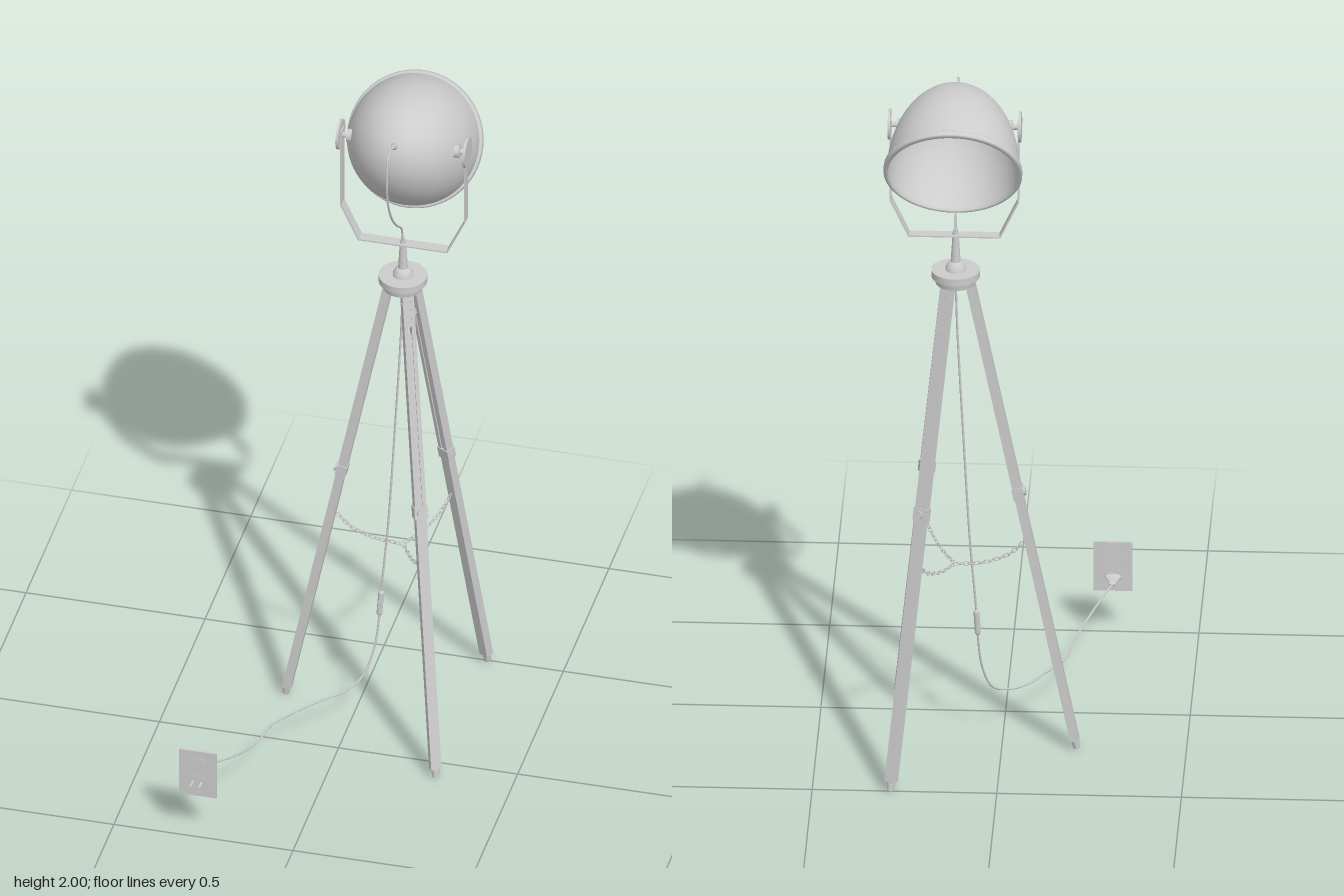
import * as THREE from 'three';

const CX = 0.125, CZ = -0.215; // tripod axis

export function createModel() {
  const root = new THREE.Group();
  const mat = new THREE.MeshStandardMaterial({ color: 0xcccccc });
  const thin = new THREE.MeshStandardMaterial({ color: 0xcccccc, side: THREE.DoubleSide });

  const add = (parent, name, geo, x = 0, y = 0, z = 0, m = mat) => {
    const mesh = new THREE.Mesh(geo, m);
    mesh.name = name;
    mesh.position.set(x, y, z);
    parent.add(mesh);
    return mesh;
  };
  const group = (parent, name, x = 0, y = 0, z = 0) => {
    const g = new THREE.Group();
    g.name = name;
    g.position.set(x, y, z);
    parent.add(g);
    return g;
  };
  const box = (w, h, d) => new THREE.BoxGeometry(w, h, d);
  const cyl = (rt, rb, h, n = 24) => new THREE.CylinderGeometry(rt, rb, h, n);
  const lathe = (pts, n = 48) => new THREE.LatheGeometry(pts.map(p => new THREE.Vector2(...p)), n);
  const curve = pts => new THREE.CatmullRomCurve3(pts.map(p => new THREE.Vector3(...p)), false, 'centripetal');
  const tube = (pts, r, n = 80) => new THREE.TubeGeometry(curve(pts), n, r, 8);

  // Tripod legs with clamps, feet and chains meeting in the middle
  const tripod = group(root, 'tripod', CX, 0, CZ);
  const topR = 0.038, footR = 0.328, topY = 1.405;
  const tilt = Math.atan2(footR - topR, topY);
  const len = Math.hypot(footR - topR, topY);
  for (const a of [Math.PI, Math.PI / 3, -Math.PI / 3]) {
    const side = group(tripod, 'legAssembly');
    side.rotation.y = a;
    const leg = group(side, 'leg', footR, 0.002, 0);
    leg.rotation.z = tilt; // local y runs along the leg, from the foot up
    const joint = 0.79;
    add(leg, 'foot', cyl(0.012, 0.009, 0.03, 16), 0, 0.015, 0);
    add(leg, 'lowerLeg', box(0.024, joint - 0.025, 0.029), 0, (joint + 0.025) / 2, 0);
    for (const s of [-1, 1])
      add(leg, 'upperSlat', box(0.025, len - joint, 0.011), 0, (len + joint) / 2, s * 0.0105);
    add(leg, 'innerSlat', box(0.018, 0.52, 0.01), 0, joint + 0.26, 0);
    add(leg, 'topBlock', box(0.023, 0.1, 0.01), 0, len - 0.05, 0);
    add(leg, 'clamp', box(0.029, 0.035, 0.038), 0, joint - 0.005, 0);
    const knob = add(leg, 'clampKnob', cyl(0.012, 0.012, 0.008, 16), 0.017, joint - 0.005, 0);
    knob.rotation.z = Math.PI / 2;
    const pin = add(leg, 'hingeBolt', cyl(0.005, 0.005, 0.036, 12), 0, len - 0.035, 0);
    pin.rotation.x = Math.PI / 2;

    // Sagging chain from the leg to the centre ring
    const path = curve([[0.185, 0.62, 0], [0.145, 0.583, 0], [0.08, 0.557, 0], [0.008, 0.55, 0]]);
    const links = 14, step = path.getLength() / links;
    for (let i = 0; i < links; i++) {
      const u = (i + 0.5) / links, p = path.getPointAt(u), t = path.getTangentAt(u);
      const holder = group(side, 'chainLink', p.x, p.y, p.z);
      holder.rotation.z = Math.atan2(t.y, t.x);
      const link = add(holder, 'link', new THREE.TorusGeometry(0.0052, 0.0014, 6, 14));
      link.scale.x = step * 0.64 / 0.0052;
      link.rotation.x = i % 2 ? Math.PI / 2 : 0;
    }
  }
  const ring = add(tripod, 'chainRing', new THREE.TorusGeometry(0.009, 0.002, 8, 20), 0, 0.55, 0);
  ring.rotation.x = Math.PI / 2;

  // Hub, swivel and post
  add(tripod, 'hubLower', cyl(0.058, 0.054, 0.022, 40), 0, 1.411, 0);
  add(tripod, 'hubUpper', cyl(0.066, 0.066, 0.02, 40), 0, 1.43, 0);
  add(tripod, 'swivel', lathe([[0.028, 1.438], [0.027, 1.447], [0.021, 1.458], [0.014, 1.464], [0, 1.466]], 32));
  add(tripod, 'post', cyl(0.008, 0.014, 0.1), 0, 1.503, 0);
  add(tripod, 'postTip', cyl(0.006, 0.006, 0.02, 16), 0, 1.55, 0);

  // Yoke: a bent flat strip extruded across its width
  const yokePts = [[-0.175, 1.89], [-0.175, 1.65], [-0.125, 1.542], [0.125, 1.542], [0.175, 1.65], [0.175, 1.89]];
  const inner = [[-0.171, 1.89], [-0.171, 1.651], [-0.122, 1.546], [0.122, 1.546], [0.171, 1.651], [0.171, 1.89]];
  const strip = new THREE.Shape([...yokePts, ...inner.reverse()].map(p => new THREE.Vector2(...p)));
  const yokeGeo = new THREE.ExtrudeGeometry(strip, { depth: 0.032, bevelEnabled: false });
  add(root, 'yoke', yokeGeo, CX + 0.003, 0, CZ - 0.016);
  for (const s of [-1, 1]) {
    const pivot = group(root, 'pivot', CX + 0.002, 1.873, CZ);
    pivot.rotation.z = -s * Math.PI / 2; // local y points outward
    add(pivot, 'pivotDisc', cyl(0.042, 0.042, 0.007, 36), 0, 0.177, 0);
    add(pivot, 'pivotBolt', cyl(0.008, 0.008, 0.05, 16), 0, 0.154, 0);
    add(pivot, 'pivotSpacer', cyl(0.018, 0.018, 0.014, 20), 0, 0.15, 0);
  }

  // Bullet-shaped shade: opening at local y = 0, closed end at +y
  const head = group(root, 'lampHead', CX + 0.001, 1.798, -0.347);
  head.rotation.x = 1.053;
  const N = 24, depth = 0.268, rad = 0.18;
  const dome = off => Array.from({ length: N + 1 }, (_, i) => {
    const a = (i / N) * Math.PI / 2;
    return [(rad - off) * Math.cos(a), (depth - off) * Math.sin(a)];
  });
  add(head, 'shadeOuter', lathe(dome(0), 64));
  add(head, 'shadeInner', lathe(dome(0.004).reverse(), 64), 0, 0, 0, thin);
  const rim = [[0.176, 0.01], [0.176, -0.008], [0.185, -0.008], [0.188, -0.005], [0.188, 0.008], [0.185, 0.011], [0.178, 0.012]];
  add(head, 'rim', lathe(rim, 64), 0, 0, 0, thin);
  add(head, 'cordGland', cyl(0.006, 0.01, 0.022, 16), 0, depth + 0.008, 0);

  // Cord from the shade to the post
  add(root, 'lampCord', tube([
    [CX, 1.938, -0.098], [CX, 1.944, -0.07], [CX, 1.93, -0.048], [CX, 1.88, -0.038],
    [CX, 1.8, -0.045], [CX, 1.71, -0.09], [CX, 1.64, -0.155], [CX, 1.6, -0.2], [CX, 1.55, CZ],
  ], 0.003));

  // Cord from the hub through the switch to the plug
  add(root, 'mainCord', tube([
    [CX, 1.41, CZ], [0.12, 1.25, -0.214], [0.105, 0.95, -0.21], [0.087, 0.62, -0.203], [0.07, 0.4, -0.193],
    [0.066, 0.32, -0.188], [0.055, 0.22, -0.172], [0.03, 0.145, -0.14], [-0.01, 0.117, -0.1], [-0.06, 0.11, -0.055],
    [-0.11, 0.114, 0.015], [-0.16, 0.117, 0.1], [-0.178, 0.122, 0.2], [-0.212, 0.142, 0.3], [-0.25, 0.168, 0.385], [-0.27, 0.176, 0.435],
  ], 0.003, 200));
  const sw = group(root, 'cordSwitch', 0.068, 0.362, -0.19);
  sw.rotation.set(-0.06, 0, -0.06);
  add(sw, 'switchBody', new THREE.CapsuleGeometry(0.008, 0.062, 6, 16));
  add(sw, 'switchButton', box(0.008, 0.02, 0.006), 0, 0, 0.008);

  // Wall outlet with plug
  const outlet = group(root, 'wallOutlet', -0.268, 0, 0.489);
  add(outlet, 'coverPlate', box(0.105, 0.146, 0.008), 0, 0.203, 0);
  for (const y of [0.23, 0.177]) {
    const socket = add(outlet, 'socketFace', cyl(0.025, 0.025, 0.011, 32), 0, y, 0);
    socket.rotation.x = Math.PI / 2;
    for (const s of [-1, 1]) add(outlet, 'socketSlot', box(0.004, 0.011, 0.0125), s * 0.01, y + 0.004, 0);
  }
  const plug = group(outlet, 'plug', 0, 0.176, 0);
  const body = add(plug, 'plugBody', lathe([[0, -0.059], [0.009, -0.059], [0.01, -0.045], [0.015, -0.03], [0.024, -0.012], [0.025, -0.004], [0, -0.004]], 28), 0, 0, 0, thin);
  body.rotation.x = Math.PI / 2;
  body.scale.z = 0.35; // flattened vertically
  for (const s of [-1, 1]) add(plug, 'prong', box(0.006, 0.006, 0.034), s * 0.012, 0, 0.015);

  return root;
}
